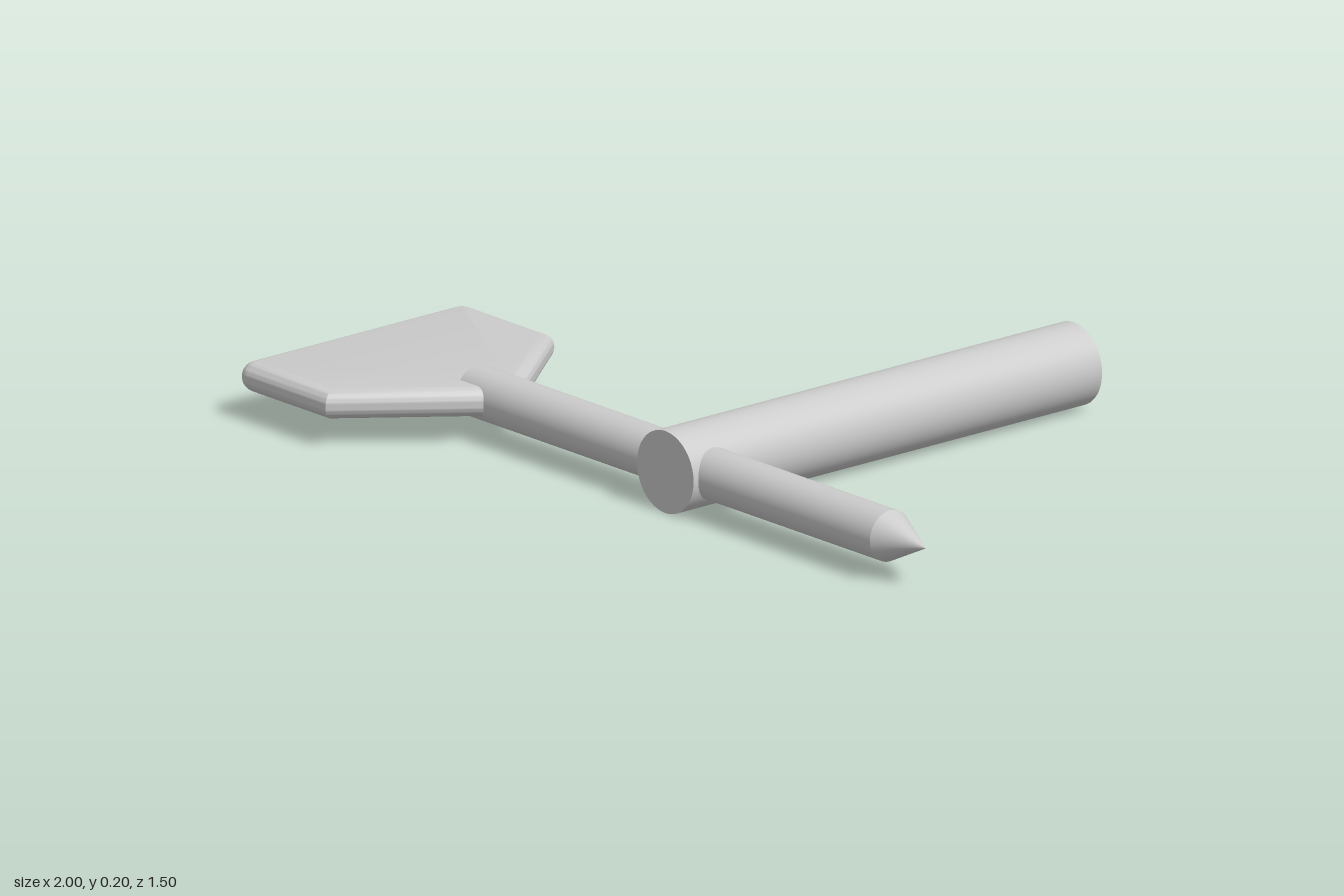
import * as THREE from 'three';
import { toCreasedNormals } from 'three/addons/utils/BufferGeometryUtils.js';

const Y = 0.1;       // height of all centre lines
const ROD_Z = 0.405; // depth of the pointer rod

export function createModel() {
  const group = new THREE.Group();
  const material = new THREE.MeshStandardMaterial({ color: 0xcccccc });
  const add = (name, geometry, x, y, z) => {
    const mesh = new THREE.Mesh(geometry, material);
    mesh.name = name;
    mesh.position.set(x, y, z);
    group.add(mesh);
  };

  // Thick post running front to back
  const postBack = -0.752, postFront = 0.48;
  add('post', new THREE.CylinderGeometry(0.098, 0.098, postFront - postBack, 64).rotateX(Math.PI / 2),
    0.183, Y, (postFront + postBack) / 2);

  // Thin rod across the post, with a conical tip
  const rodStart = -0.557, rodEnd = 0.876;
  add('rod', new THREE.CylinderGeometry(0.061, 0.061, rodEnd - rodStart, 48).rotateZ(-Math.PI / 2),
    (rodStart + rodEnd) / 2, Y, ROD_Z);
  add('tip', new THREE.ConeGeometry(0.061, 1 - rodEnd, 48, 1, true).rotateZ(-Math.PI / 2),
    (1 + rodEnd) / 2, Y, ROD_Z);

  // Flat tail blade with fully rounded edges, tapering into the rod
  const half = 0.345, r = 0.04, round = 0.034;
  const outline = new THREE.Shape();
  outline.moveTo(-1 + r, -half);
  outline.lineTo(-0.685, -half);
  outline.lineTo(-0.455, -0.05);
  outline.lineTo(-0.455, 0.05);
  outline.lineTo(-0.685, half);
  outline.lineTo(-1 + r, half);
  outline.absarc(-1 + r, half - r, r, Math.PI / 2, Math.PI, false);
  outline.lineTo(-1, -half + r);
  outline.absarc(-1 + r, -half + r, r, Math.PI, Math.PI * 1.5, false);
  const blade = new THREE.ExtrudeGeometry(outline, {
    depth: 0.002, curveSegments: 8, bevelEnabled: true, bevelSegments: 10,
    bevelThickness: round, bevelSize: round, bevelOffset: -round,
  });
  blade.translate(0, 0, -0.001).rotateX(Math.PI / 2);
  add('tailBlade', toCreasedNormals(blade, 0.5), 0, Y, ROD_Z);

  group.position.y = 0.098 - Y; // rest the post on the ground
  return group;
}
